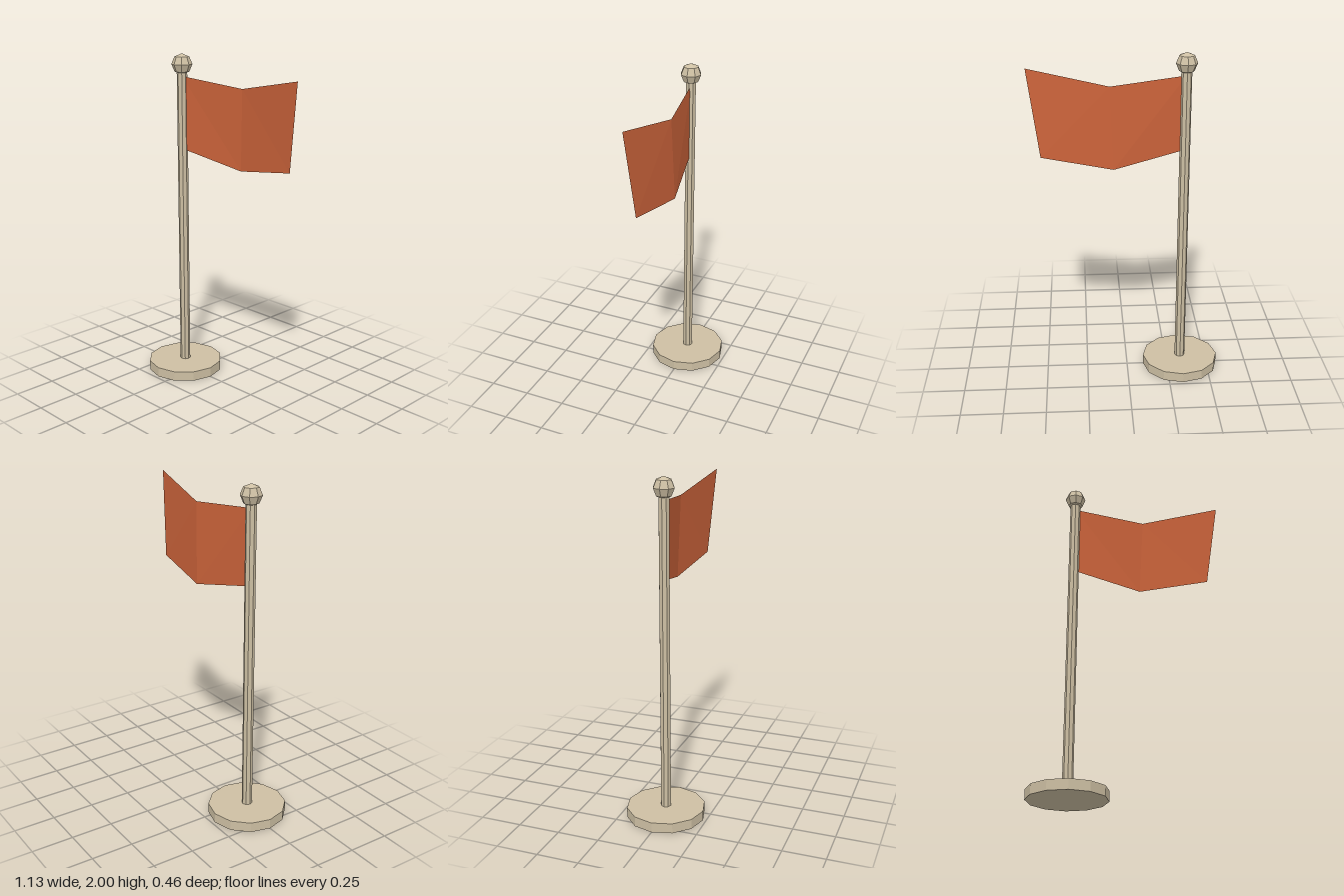
import * as THREE from 'three';

const POLE_X = -0.333;

export function createModel() {
  const group = new THREE.Group();
  const stone = new THREE.MeshStandardMaterial({ color: 0xcdbfa3, flatShading: true });
  stone.name = 'paleTan';
  const cloth = new THREE.MeshStandardMaterial({ color: 0xcb633a, flatShading: true, side: THREE.DoubleSide });
  cloth.name = 'rustOrange';

  const add = (name, geometry, material, x = 0, y = 0) => {
    const mesh = new THREE.Mesh(geometry, material);
    mesh.name = name;
    mesh.position.set(x, y, 0);
    group.add(mesh);
  };

  // Round foot, slim pole and faceted finial
  add('base', new THREE.CylinderGeometry(0.232, 0.232, 0.06, 12), stone, POLE_X, 0.03);
  add('pole', new THREE.CylinderGeometry(0.031, 0.031, 1.85, 8), stone, POLE_X, 0.975);
  add('finial', new THREE.SphereGeometry(0.062, 8, 4), stone, POLE_X, 1.938);

  // Flag: three upright edges (top point, bottom point) joined by two panels
  const edges = [
    [[POLE_X, 1.867, 0], [POLE_X, 1.43, 0]],
    [[0.1, 1.828, -0.065], [0.08, 1.345, -0.079]],
    [[0.565, 1.92, -0.002], [0.495, 1.41, -0.034]],
  ];
  const positions = [];
  for (let i = 0; i < edges.length - 1; i++) {
    const [topA, lowA] = edges[i];
    const [topB, lowB] = edges[i + 1];
    positions.push(...topA, ...lowA, ...lowB, ...topA, ...lowB, ...topB);
  }
  const flag = new THREE.BufferGeometry();
  flag.setAttribute('position', new THREE.Float32BufferAttribute(positions, 3));
  flag.computeVertexNormals();
  add('flag', flag, cloth);

  return group;
}
